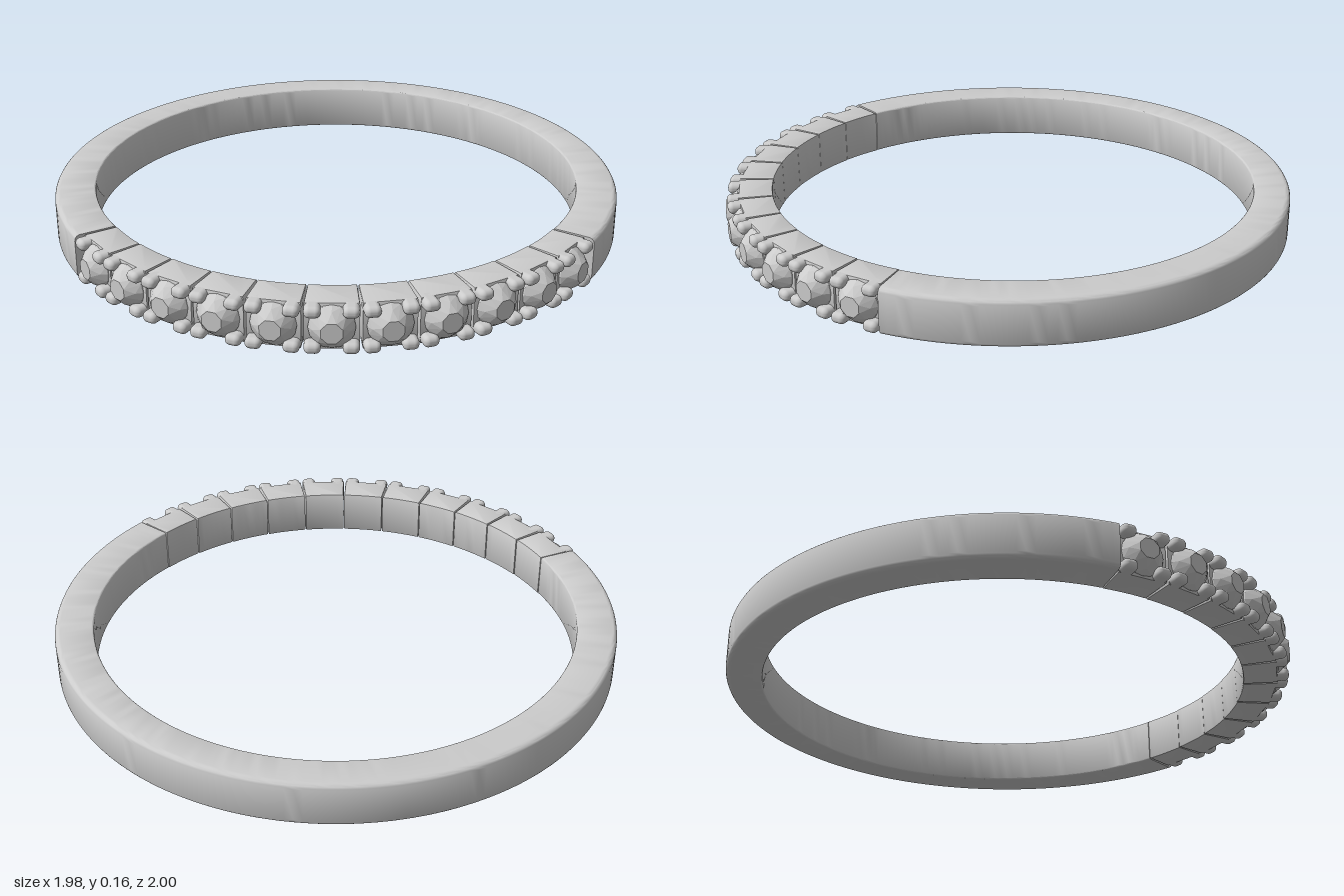
import * as THREE from 'three';
import { toCreasedNormals } from 'three/addons/utils/BufferGeometryUtils.js';
import { RoundedBoxGeometry } from 'three/addons/geometries/RoundedBoxGeometry.js';
import { ConvexGeometry } from 'three/addons/geometries/ConvexGeometry.js';

const H = 0.16;              // ring height
const CZ = -0.008;           // centre of the outer circle
const R_OUT = 0.992;
const STONES = 11;
const STEP = THREE.MathUtils.degToRad(10.66);
const BAND_START = STEP * STONES / 2 + 0.002;

// inner wall is slightly off-centre, so the band thins toward the back
const innerRadius = (a) => 0.852 - 0.014 * Math.cos(a);

// Plain band: rounded cross-section swept around the back of the ring
function bandGeometry() {
  const section = []; // [from outer wall?, radial offset, y]
  const corner = (outer, y, sy, r, from) => {
    for (let i = 0; i <= 5; i++) {
      const t = from + (i / 5) * Math.PI / 2;
      const c = outer ? -r : r;
      section.push([outer, c + r * Math.cos(t), y - sy * r + r * Math.sin(t)]);
    }
  };
  corner(true, 0, -1, 0.02, -Math.PI / 2);
  corner(true, H, 1, 0.02, 0);
  corner(false, H, 1, 0.008, Math.PI / 2);
  corner(false, 0, -1, 0.008, Math.PI);

  const N = 144, M = section.length, pos = [], idx = [];
  for (let i = 0; i <= N; i++) {
    const a = BAND_START + (i / N) * (2 * Math.PI - 2 * BAND_START);
    for (const [outer, dr, y] of section) {
      const r = (outer ? R_OUT : innerRadius(a)) + dr;
      pos.push(r * Math.sin(a), y, CZ + r * Math.cos(a));
    }
  }
  for (let i = 0; i < N; i++) {
    for (let j = 0; j < M; j++) {
      const k = (j + 1) % M;
      const a = i * M + j, b = i * M + k, c = a + M, d = b + M;
      idx.push(a, c, b, b, c, d);
    }
  }
  // flat end faces
  for (let j = 1; j < M - 1; j++) {
    idx.push(0, j, j + 1);
    idx.push(N * M, N * M + j + 1, N * M + j);
  }
  const g = new THREE.BufferGeometry();
  g.setAttribute('position', new THREE.Float32BufferAttribute(pos, 3));
  g.setIndex(idx);
  return toCreasedNormals(g, 0.6);
}

// Wedge block that carries one stone; local +z points outward
function blockGeometry(rIn) {
  const half = STEP / 2 - 0.002, bevel = 0.006, rOut = 0.955;
  const s = new THREE.Shape();
  for (let i = 0; i <= 6; i++) {
    const a = -half + (i / 6) * 2 * half;
    const x = rIn * Math.sin(a), z = rIn * Math.cos(a);
    if (i === 0) s.moveTo(x, z); else s.lineTo(x, z);
  }
  s.lineTo(0.085, rOut);
  s.lineTo(-0.085, rOut);
  s.closePath();
  const g = new THREE.ExtrudeGeometry(s, {
    depth: H - 2 * bevel, bevelThickness: bevel, bevelSize: bevel,
    bevelOffset: -bevel, bevelSegments: 2,
  });
  g.rotateX(Math.PI / 2);
  g.translate(0, H - bevel, 0);
  return toCreasedNormals(g, 0.5);
}

// Faceted round stone: girdle, crown break and table
function stoneGeometry() {
  const pts = [];
  const ring = (n, r, z, turn) => {
    for (let i = 0; i < n; i++) {
      const a = ((i + turn) / n) * 2 * Math.PI;
      pts.push(new THREE.Vector3(r * Math.cos(a), r * Math.sin(a), z));
    }
  };
  ring(8, 0.03, 0.91, 0);
  ring(16, 0.073, 0.95, 0);
  ring(16, 0.073, 0.96, 0);
  ring(8, 0.06, 0.979, 0);
  ring(8, 0.036, 1.003, 0.5);
  return new ConvexGeometry(pts);
}

export function createModel() {
  const model = new THREE.Group();
  model.name = 'ring';
  const metal = new THREE.MeshStandardMaterial({ color: 0xcccccc });
  const gem = new THREE.MeshStandardMaterial({ color: 0xcccccc, flatShading: true });

  const add = (parent, geometry, material, name) => {
    const mesh = new THREE.Mesh(geometry, material);
    mesh.name = name;
    parent.add(mesh);
    return mesh;
  };

  add(model, bandGeometry(), metal, 'band');

  const stone = stoneGeometry();
  const prong = new RoundedBoxGeometry(0.052, 0.038, 0.08, 4, 0.017);

  // Row of stone settings across the front
  for (let i = 0; i < STONES; i++) {
    const angle = (i - (STONES - 1) / 2) * STEP;
    const setting = new THREE.Group();
    setting.name = 'setting';
    setting.position.z = CZ;
    setting.rotation.y = angle;
    model.add(setting);

    add(setting, blockGeometry(innerRadius(angle)), metal, 'settingBlock');
    add(setting, stone, gem, 'stone').position.y = H / 2;

    // four corner prongs gripping the stone
    for (const sx of [-1, 1]) {
      for (const sy of [-1, 1]) {
        add(setting, prong, metal, 'prong').position.set(sx * 0.059, H / 2 + sy * 0.061, 0.955);
      }
    }
  }
  return model;
}
